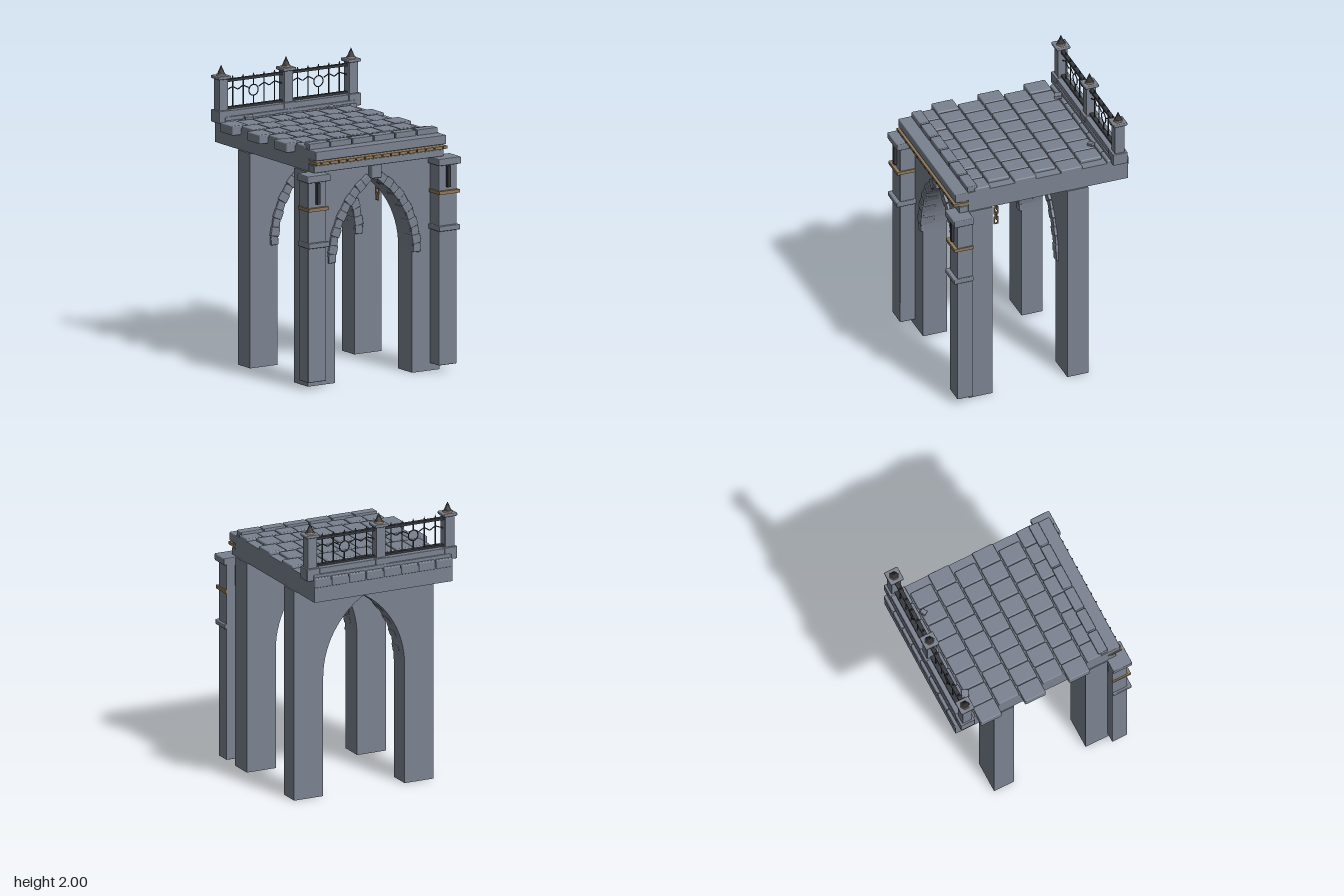
import * as THREE from 'three';
import { RoundedBoxGeometry } from 'three/addons/geometries/RoundedBoxGeometry.js';

const material = (name, color) => {
  const m = new THREE.MeshStandardMaterial({ color });
  m.name = name;
  return m;
};

export function createModel() {
  const stone = material('stone', 0x7b8290);
  const iron = material('iron', 0x34373d);
  const bronze = material('bronze', 0x8f7859);
  const model = new THREE.Group();
  model.name = 'stoneBridgeArch';

  const add = (name, geometry, mat, x = 0, y = 0, z = 0, parent = model) => {
    const mesh = new THREE.Mesh(geometry, mat);
    mesh.name = name;
    mesh.position.set(x, y, z);
    parent.add(mesh);
    return mesh;
  };
  // box given by its extents
  const box = (name, mat, x0, x1, y0, y1, z0, z1, bevel = 0) => {
    const s = [x1 - x0, y1 - y0, z1 - z0];
    const g = bevel ? new RoundedBoxGeometry(...s, 1, bevel) : new THREE.BoxGeometry(...s);
    return add(name, g, mat, (x0 + x1) / 2, (y0 + y1) / 2, (z0 + z1) / 2);
  };

  // pointed arch: two arcs of radius R springing at height SPRING
  const HALF = 0.305, SPRING = 0.83, APEX = 1.36;
  const rise = APEX - SPRING;
  const R = (HALF * HALF + rise * rise) / (2 * HALF);
  const sweep = Math.asin(rise / R);
  const arc = (a, r = R) => [HALF - R + r * Math.cos(a), SPRING + r * Math.sin(a)];

  function archWall(name, z0, z1) {
    const pts = [[0.522, 0], [0.522, 1.46], [-0.522, 1.46], [-0.522, 0], [-HALF, 0]];
    const N = 14;
    for (let i = 0; i <= N; i++) {
      const [x, y] = arc((sweep * i) / N);
      pts.push([-x, y]);
    }
    for (let i = N - 1; i >= 0; i--) pts.push(arc((sweep * i) / N));
    pts.push([HALF, 0]);
    const shape = new THREE.Shape(pts.map(p => new THREE.Vector2(...p)));
    const g = new THREE.ExtrudeGeometry(shape, { depth: z1 - z0, bevelEnabled: false });
    add(name, g, stone, 0, 0, z0);

    // arch stones and keystone, standing proud of the front face
    const count = 11;
    for (const side of [-1, 1]) {
      for (let i = 0; i < count; i++) {
        const a = (sweep * 0.97 * (i + 0.35)) / count;
        const odd = i % 2;
        const [x, y] = arc(a, R + 0.03);
        const b = add('archStone', new RoundedBoxGeometry(odd ? 0.066 : 0.058, 0.062, 0.1, 1, 0.006),
          stone, side * x, y, z1 - 0.034 + odd * 0.004);
        b.rotation.z = side * (a + (odd ? 0.06 : -0.08));
      }
    }
    box('keystone', stone, -0.04, 0.04, 1.365, 1.457, z1 - 0.08, z1 + 0.042, 0.008);
  }
  archWall('frontArchWall', 0.335, 0.505);
  archWall('backArchWall', -0.35, -0.2);

  // deck slab and paving in running bond
  box('deckSlab', stone, -0.517, 0.517, 1.463, 1.609, -0.635, 0.507);
  for (let row = 0; row < 7; row++) {
    const z = -0.565 + row * 0.165;
    const shift = row % 2 ? -0.065 : 0;
    const z1 = row === 6 ? 0.46 : z + 0.078;
    for (let i = 0; i < 8; i++) {
      const x = -0.455 + i * 0.13 + shift;
      const top = 1.627 + ((i * 5 + row * 3) % 4) * 0.0015;
      box('pavingStone', stone, x - 0.062, x + 0.062, 1.565, top, z - 0.077, z1, 0.008);
    }
  }

  // front cornice with riveted metal band and curb stones
  box('corniceLower', stone, -0.515, 0.515, 1.46, 1.508, 0.5, 0.57, 0.005);
  box('corniceCore', stone, -0.51, 0.51, 1.5, 1.555, 0.5, 0.56);
  box('corniceBand', bronze, -0.517, 0.517, 1.518, 1.538, 0.505, 0.609);
  box('corniceUpper', stone, -0.517, 0.517, 1.547, 1.609, 0.5, 0.598, 0.006);
  for (let i = 0; i < 15; i++) {
    add('corniceRivet', new THREE.SphereGeometry(0.007, 8, 6), iron, -0.483 + i * 0.069, 1.53, 0.61);
  }
  for (let i = 0; i < 6; i++) {
    const x = -0.428 + i * 0.171;
    box('curbStone', stone, x - 0.081, x + 0.081, 1.59, 1.647, 0.438, 0.508, 0.006);
  }

  // front buttress piers
  for (const s of [-1, 1]) {
    const pier = (name, mat, half, y0, y1, z1, bevel = 0) =>
      box(name, mat, s * 0.518 - half, s * 0.518 + half, y0, y1, 0.5, z1, bevel);
    pier('pierShaft', stone, 0.071, 0.05, 1.43, 0.613, 0.005);
    pier('pierCapital', stone, 0.089, 1.412, 1.46, 0.641, 0.006);
    pier('pierMoulding', stone, 0.084, 0.965, 1.0, 0.64, 0.006);
    pier('pierBand', bronze, 0.08, 1.215, 1.238, 0.636);
    pier('pierIronBar', iron, 0.013, 1.26, 1.405, 0.634);
  }

  // rear parapet
  box('parapetPlinth', stone, -0.517, 0.517, 1.6, 1.652, -0.62, -0.51, 0.005);
  box('parapetTop', stone, -0.517, 0.517, 1.645, 1.692, -0.612, -0.518, 0.005);
  const RZ = -0.565;
  for (const x of [-0.515, 0, 0.515]) {
    box('postFoot', stone, x - 0.048, x + 0.048, 1.61, 1.695, RZ - 0.052, RZ + 0.052, 0.005);
    box('railingPost', stone, x - 0.035, x + 0.035, 1.68, 1.91, RZ - 0.035, RZ + 0.035, 0.004);
    box('postCap', stone, x - 0.05, x + 0.05, 1.906, 1.928, RZ - 0.05, RZ + 0.05, 0.006);
    add('finialBase', new THREE.CylinderGeometry(0.03, 0.034, 0.012, 6), bronze, x, 1.933, RZ);
    add('finial', new THREE.ConeGeometry(0.028, 0.065, 6), iron, x, 1.9675, RZ);
  }

  // iron railing panels
  for (const s of [-1, 1]) {
    const cx = s * 0.2575;
    box('topRail', iron, cx - 0.225, cx + 0.225, 1.879, 1.896, RZ - 0.014, RZ + 0.014);
    box('bottomRail', iron, cx - 0.225, cx + 0.225, 1.694, 1.708, RZ - 0.014, RZ + 0.014);
    for (let i = -2; i <= 2; i++) {
      const x = cx + i * 0.083;
      // the middle bar is interrupted by the ring
      const spans = i ? [[1.7, 1.9]] : [[1.7, 1.763], [1.837, 1.9]];
      for (const [a, b] of spans) {
        add('railingBar', new THREE.CylinderGeometry(0.0045, 0.0045, b - a, 6), iron, x, (a + b) / 2, RZ);
      }
      add('barSpike', new THREE.ConeGeometry(0.008, 0.026, 6), iron, x, 1.908, RZ);
    }
    add('railingRing', new THREE.TorusGeometry(0.037, 0.004, 5, 16), iron, cx, 1.8, RZ);
    // scalloped wire
    for (const m of [-1, 1]) {
      const pts = [[0.04, 1.82], [0.083, 1.842], [0.125, 1.818], [0.166, 1.842], [0.222, 1.82]];
      const path = new THREE.CurvePath();
      const v = pts.map(([x, y]) => new THREE.Vector3(cx + m * x, y, RZ));
      for (let i = 1; i < v.length; i++) path.add(new THREE.LineCurve3(v[i - 1], v[i]));
      add('railingScallop', new THREE.TubeGeometry(path, 24, 0.004, 5), iron);
    }
  }

  // hanging chains, every other link turned a quarter
  const linkShape = new THREE.Shape();
  const rect = (p, w, h) => p.moveTo(-w, -h).lineTo(w, -h).lineTo(w, h).lineTo(-w, h).closePath();
  rect(linkShape, 0.016, 0.028);
  linkShape.holes.push(rect(new THREE.Path(), 0.009, 0.02));
  const linkGeometry = new THREE.ExtrudeGeometry(linkShape, { depth: 0.008, bevelEnabled: false });
  linkGeometry.translate(0, 0, -0.004);
  for (const [x, z, n] of [[-0.205, 0.285, 11], [0.23, 0.195, 8]]) {
    const chain = new THREE.Group();
    chain.name = 'hangingChain';
    chain.position.set(x, 1.427, z);
    for (let i = 0; i < n; i++) {
      const link = add('chainLink', linkGeometry, bronze, 0, -i * 0.0388, 0, chain);
      link.rotation.y = i % 2 ? Math.PI / 2 : 0;
    }
    model.add(chain);
    add('chainMount', new THREE.CylinderGeometry(0.008, 0.008, 0.03, 8), iron, x, 1.453, z);
  }

  // loose rubble on the deck
  for (const [x, z, size, turn] of [[-0.35, -0.48, 0.058, 0.4], [0.29, -0.46, 0.042, -0.6]]) {
    const r = add('rubble', new RoundedBoxGeometry(size, 0.022, size * 0.85, 1, 0.004), stone, x, 1.638, z);
    r.rotation.set(0.12, -turn, 0.1);
  }
  return model;
}
